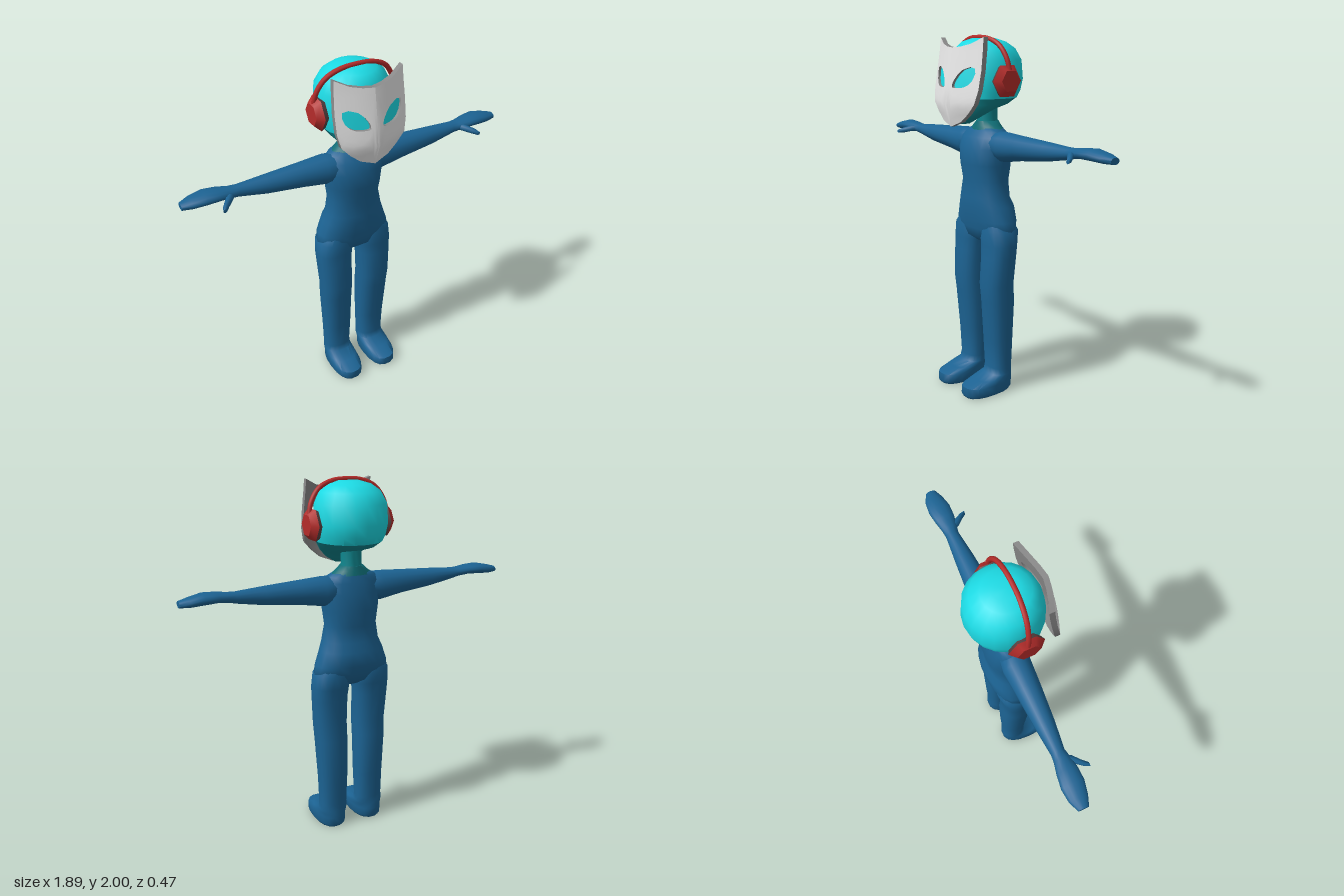
import * as THREE from 'three';
import { toCreasedNormals } from 'three/addons/utils/BufferGeometryUtils.js';

const mat = (name, color) => new THREE.MeshStandardMaterial({ name, color });

// Skin a stack of closed rings (arrays of [x, y, z] points)
function skin(rows, crease = 1.1) {
  const n = rows[0].length, index = [];
  for (let r = 0; r < rows.length - 1; r++) {
    for (let i = 0; i < n; i++) {
      const j = (i + 1) % n, a = r * n + i, b = r * n + j, c = a + n, d = b + n;
      index.push(a, b, c, b, d, c);
    }
  }
  const g = new THREE.BufferGeometry();
  g.setAttribute('position', new THREE.Float32BufferAttribute(rows.flat(2), 3));
  g.setIndex(index);
  return toCreasedNormals(g, crease);
}

// Loft along an axis; each section is [t, min1, max1, min2, max2]
function loft(axis, sections, { power = 1, segments = 18 } = {}) {
  const bend = v => Math.sign(v) * Math.abs(v) ** power;
  const ring = ([t, a0, a1, b0, b1], size = 1) => Array.from({ length: segments }, (_, i) => {
    const w = (i / segments) * Math.PI * 2;
    const a = (a0 + a1) / 2 + bend(Math.cos(w)) * size * (a1 - a0) / 2;
    const s = bend(Math.sin(w)) * size * (b1 - b0) / 2, b = (b0 + b1) / 2;
    if (axis === 'y') return [a, t, b - s];
    return axis === 'x' ? [t, a, b + s] : [a, b + s, t];
  });
  const last = sections[sections.length - 1];
  return skin([ring(sections[0], 0), ...sections.map(s => ring(s)), ring(last, 0)]);
}

// Symmetric sections: [y, halfWidth, zBack, zFront]
const even = list => list.map(([y, w, z0, z1]) => [y, -w, w, z0, z1]);

// Mirror a non-indexed geometry across x = 0, keeping faces outward
function mirrored(source) {
  const g = source.clone();
  for (const key of ['position', 'normal']) {
    const p = g.attributes[key];
    for (let i = 0; i < p.count; i += 3) {
      const v = [0, 2, 1].map(k => [p.getX(i + k), p.getY(i + k), p.getZ(i + k)]);
      v.forEach((q, k) => p.setXYZ(i + k, -q[0], q[1], q[2]));
    }
  }
  return g;
}

// Depth of the mask front: a ridge in the middle, swept back to the sides
function maskDepth(x, y) {
  const ridge = [[1.52, 0.2], [1.6, 0.22], [1.64, 0.234], [1.72, 0.224], [1.8, 0.21], [1.94, 0.188], [2, 0.182]];
  const k = Math.max(1, ridge.findIndex(p => p[0] >= y));
  const [y0, z0] = ridge[k - 1], [y1, z1] = ridge[k];
  return z0 + (z1 - z0) * (y - y0) / (y1 - y0) - 0.06 * (Math.abs(x) / 0.2) ** 1.4;
}

export function createModel() {
  const model = new THREE.Group();
  model.name = 'maskedFigure';
  const suit = mat('suitBlue', 0x1c6393);
  const cyan = mat('headTurquoise', 0x1cdae4);
  const teal = mat('neckTeal', 0x0e858d);
  const collarMat = mat('collarTeal', 0x0f6c74);
  const white = mat('maskWhite', 0xffffff);
  const grey = mat('maskGrey', 0x8a8a8a);
  const red = mat('headphoneRed', 0xb42c2a);
  const dark = mat('cushionGrey', 0x5a4444);

  const add = (name, geometry, material) => {
    const mesh = new THREE.Mesh(geometry, material);
    mesh.name = name;
    model.add(mesh);
  };
  const pair = (name, geometry, material) => {
    const g = geometry.index ? geometry.toNonIndexed() : geometry;
    add('left' + name, g, material);
    add('right' + name, mirrored(g), material);
  };

  // Torso from crotch to shoulders
  add('torso', loft('y', even([
    [0.87, 0.07, -0.07, 0.01], [0.9, 0.18, -0.115, 0.05], [0.95, 0.222, -0.14, 0.062],
    [1.0, 0.212, -0.158, 0.072], [1.08, 0.182, -0.16, 0.08], [1.13, 0.163, -0.138, 0.08],
    [1.22, 0.147, -0.135, 0.072], [1.31, 0.157, -0.15, 0.09], [1.4, 0.168, -0.135, 0.085],
    [1.46, 0.165, -0.125, 0.06], [1.49, 0.14, -0.115, 0.035], [1.515, 0.09, -0.11, 0.02],
  ]), { power: 0.88 }), suit);

  // Legs running into the shoes
  pair('Leg', loft('y', [
    [0, 0.04, 0.197, -0.1, 0.198], [0.015, 0.03, 0.205, -0.11, 0.208], [0.06, 0.03, 0.205, -0.11, 0.203],
    [0.085, 0.032, 0.202, -0.108, 0.12], [0.105, 0.034, 0.198, -0.105, 0.04], [0.14, 0.036, 0.195, -0.103, 0.03],
    [0.3, 0.03, 0.199, -0.11, 0.04], [0.55, 0.028, 0.212, -0.115, 0.06], [0.64, 0.027, 0.216, -0.105, 0.07],
    [0.8, 0.027, 0.226, -0.115, 0.06], [0.87, 0.018, 0.23, -0.12, 0.056], [0.95, 0.005, 0.222, -0.135, 0.058],
    [1.04, 0.05, 0.15, -0.1, 0.03],
  ], { power: 0.82 }), suit);

  // Arms with mitten hands, and thumbs
  pair('Arm', loft('x', [
    [0.04, 1.39, 1.47, -0.08, 0.02], [0.11, 1.35, 1.494, -0.108, 0.045], [0.17, 1.333, 1.497, -0.115, 0.04],
    [0.3, 1.355, 1.489, -0.105, 0.03], [0.5, 1.378, 1.478, -0.092, 0.012], [0.65, 1.405, 1.468, -0.08, -0.008],
    [0.69, 1.415, 1.468, -0.085, 0], [0.75, 1.422, 1.476, -0.1, 0.01], [0.82, 1.42, 1.48, -0.11, 0.012],
    [0.89, 1.416, 1.466, -0.102, -0.002], [0.943, 1.418, 1.452, -0.078, -0.022],
  ], { segments: 14 }), suit);
  pair('Thumb', loft('z', [
    [-0.03, 0.67, 0.71, 1.42, 1.46], [0.01, 0.69, 0.737, 1.42, 1.455],
    [0.045, 0.727, 0.762, 1.411, 1.442], [0.072, 0.75, 0.772, 1.41, 1.43],
  ], { segments: 8 }), suit);

  // Neck and collar
  add('neck', loft('y', even([[1.5, 0.065, -0.108, 0.018], [1.56, 0.055, -0.1, 0.012], [1.66, 0.06, -0.1, 0.02]])), teal);
  add('collar', loft('y', even([[1.497, 0.122, -0.118, 0.032], [1.52, 0.09, -0.113, 0.024], [1.545, 0.062, -0.106, 0.016]])), collarMat);

  // Head: dark jaw and underside, bright skull above
  const seam = [1.672, 0.178, -0.202, 0.167];
  add('jaw', loft('y', even([
    [1.537, 0.025, 0.08, 0.14], [1.57, 0.08, 0.03, 0.162], [1.615, 0.13, -0.06, 0.168],
    [1.64, 0.155, -0.15, 0.168], seam,
  ]), { segments: 20 }), teal);
  add('skull', loft('y', even([
    seam, [1.71, 0.19, -0.222, 0.166], [1.77, 0.2, -0.235, 0.165],
    [1.87, 0.193, -0.225, 0.152], [1.93, 0.163, -0.19, 0.132], [1.965, 0.115, -0.14, 0.1], [1.982, 0.055, -0.09, 0.05],
  ]), { segments: 20 }), cyan);

  // Half mask: outline points paired with points round the eye hole
  const outline = [
    [0, 1.935], [0.06, 1.94], [0.12, 1.953], [0.19, 1.987], [0.193, 1.92], [0.198, 1.82], [0.196, 1.72],
    [0.18, 1.65], [0.135, 1.6], [0.08, 1.555], [0, 1.525], [0, 1.62], [0, 1.73], [0, 1.83],
  ];
  const eye = [
    [0.04, 1.765], [0.06, 1.795], [0.09, 1.823], [0.135, 1.838], [0.163, 1.83], [0.167, 1.805], [0.155, 1.77],
    [0.135, 1.748], [0.11, 1.735], [0.085, 1.731], [0.06, 1.73], [0.042, 1.731], [0.035, 1.736], [0.035, 1.75],
  ];
  const maskRing = (t, offset) => outline.map(([ox, oy], i) => {
    const x = eye[i][0] + (ox - eye[i][0]) * t, y = eye[i][1] + (oy - eye[i][1]) * t;
    return [x, y, maskDepth(x, y) - offset];
  });
  const steps = [0, 0.2, 0.4, 0.6, 0.8, 1];
  pair('MaskFace', skin(steps.map(t => maskRing(t, 0))), white);
  pair('MaskBacking', skin([
    maskRing(1, 0), ...steps.slice().reverse().map(t => maskRing(t, 0.028)), maskRing(0, 0),
  ], 0.7), grey);

  // Eyes: bright plates set just inside the holes
  const eyeCentre = [0.1, 1.783, maskDepth(0.1, 1.783) - 0.014];
  pair('Eye', skin([eye.map(() => eyeCentre), maskRing(0, 0.016)]), cyan);

  // Headphones: band over the crown, hexagonal cups, cushions
  const half = [[0.229, 1.81, -0.015], [0.212, 1.88, -0.006], [0.165, 1.945, 0.004], [0.09, 1.979, 0.012]];
  const path = [...half.map(([x, y, z]) => [-x, y, z]), [0, 1.987, 0.015], ...half.slice().reverse()];
  const curve = new THREE.CatmullRomCurve3(path.map(p => new THREE.Vector3(...p)));
  add('headband', new THREE.TubeGeometry(curve, 32, 0.013, 8), red);
  const disc = (outer, inner, x0, x1) => new THREE.CylinderGeometry(outer, inner, x1 - x0, 6)
    .rotateZ(-Math.PI / 2).translate((x0 + x1) / 2, 1.765, -0.012);
  pair('EarCup', disc(0.06, 0.093, 0.21, 0.243), red);
  pair('EarCushion', disc(0.093, 0.08, 0.185, 0.21), dark);

  return model;
}
